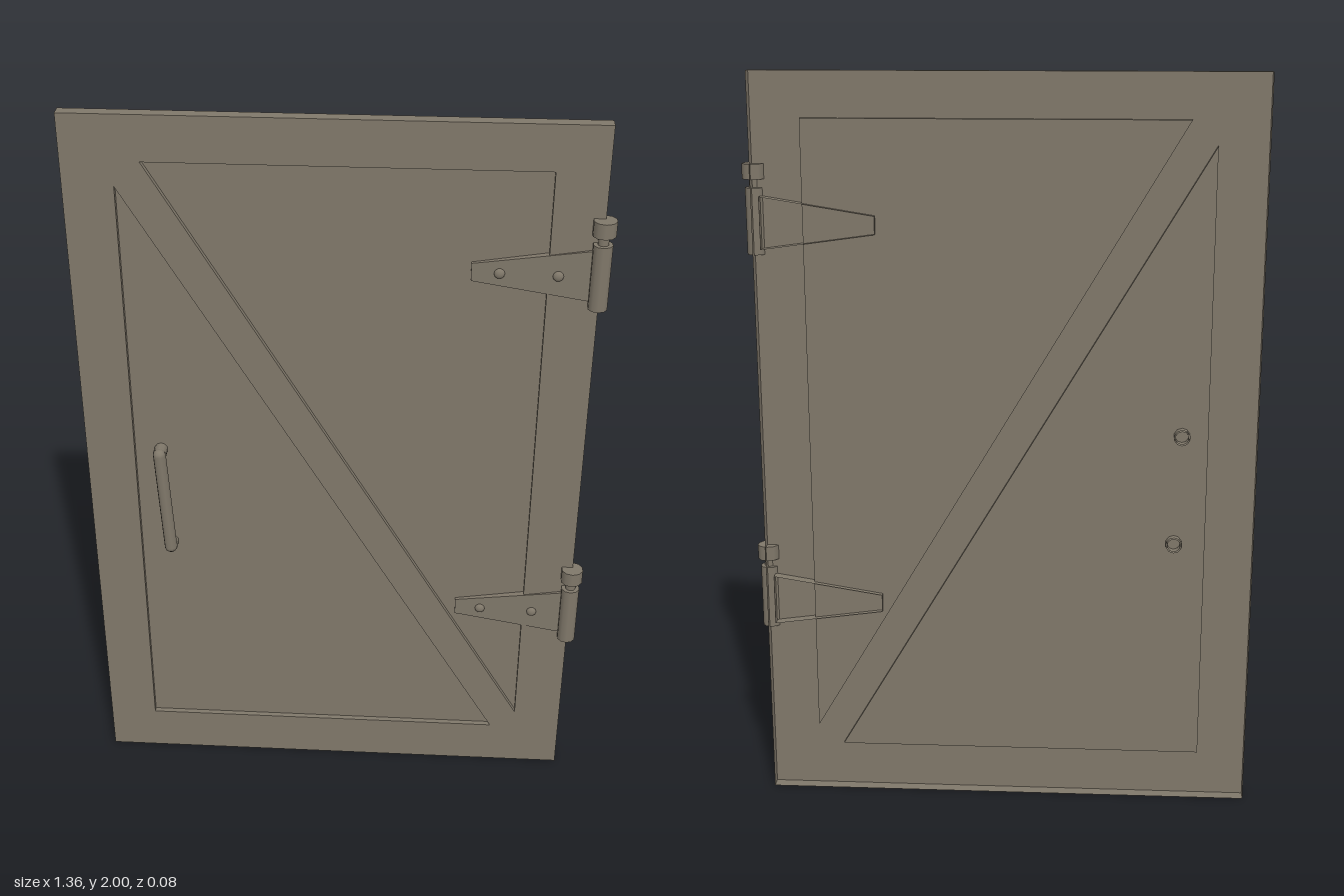
import * as THREE from 'three';

const paint = new THREE.MeshStandardMaterial({ color: 0x80786a, side: THREE.DoubleSide });
paint.name = 'weathered taupe';

const FRONT = 0, PANEL = -0.015, BACK = -0.034;

function add(parent, name, geometry, x = 0, y = 0, z = 0) {
  const mesh = new THREE.Mesh(geometry, paint);
  mesh.name = name;
  mesh.position.set(x, y, z);
  parent.add(mesh);
  return mesh;
}

const toVectors = pts => pts.map(([x, y]) => new THREE.Vector2(x, y));

// Flat sheet whose depth follows a rule of x
function sheet(pts, depth, holes = []) {
  const shape = new THREE.Shape(toVectors(pts));
  holes.forEach(h => shape.holes.push(new THREE.Path(toVectors(h))));
  const geo = new THREE.ShapeGeometry(shape);
  const p = geo.attributes.position;
  for (let i = 0; i < p.count; i++) p.setZ(i, depth(p.getX(i)));
  geo.computeVertexNormals();
  return geo;
}

// Side walls around an anticlockwise outline
function walls(pts, depth, back) {
  const v = [];
  pts.forEach(([ax, ay], i) => {
    const [bx, by] = pts[(i + 1) % pts.length];
    const a0 = [ax, ay, back], b0 = [bx, by, back];
    const a1 = [ax, ay, depth(ax)], b1 = [bx, by, depth(bx)];
    v.push(...a0, ...b0, ...b1, ...a0, ...b1, ...a1);
  });
  const geo = new THREE.BufferGeometry();
  geo.setAttribute('position', new THREE.Float32BufferAttribute(v, 3));
  geo.computeVertexNormals();
  return geo;
}

function createHinge(y) {
  const hinge = new THREE.Group();
  hinge.name = 'hinge';
  hinge.position.y = y;
  // Tapered strap, tilted slightly out towards the barrel
  const outline = [[0.33, -0.024], [0.63, -0.066], [0.63, 0.072], [0.33, 0.024]];
  const depth = x => -0.006 + (x - 0.33) * 0.047;
  add(hinge, 'hingeStrap', sheet(outline, depth));
  add(hinge, 'hingeStrapEdge', walls(outline, depth, -0.03));
  for (const x of [0.4, 0.545]) {
    const rivet = add(hinge, 'rivet',
      new THREE.SphereGeometry(0.014, 10, 4, 0, Math.PI * 2, 0, Math.PI / 2), x, 0, depth(x));
    rivet.rotation.x = Math.PI / 2;
    rivet.scale.y = 0.65;
  }
  // Barrel, pin and pin head
  add(hinge, 'hingeBarrel', new THREE.CylinderGeometry(0.025, 0.025, 0.175, 10), 0.647, 0.005, 0.01);
  add(hinge, 'hingePin', new THREE.CylinderGeometry(0.014, 0.014, 0.05, 10), 0.647, 0.105, 0.01);
  add(hinge, 'pinHead', new THREE.CylinderGeometry(0.03, 0.03, 0.04, 10), 0.648, 0.135, 0.007);
  return hinge;
}

function createHandle() {
  const handle = new THREE.Group();
  handle.name = 'handle';
  // Slightly leaning grip with rounded ends
  const top = new THREE.Vector3(-0.48, 1.053, 0.019);
  const bottom = new THREE.Vector3(-0.466, 0.752, 0.014);
  const dir = top.clone().sub(bottom);
  const mid = top.clone().add(bottom).multiplyScalar(0.5);
  const grip = add(handle, 'grip', new THREE.CapsuleGeometry(0.0175, dir.length(), 3, 10), mid.x, mid.y, mid.z);
  grip.quaternion.setFromUnitVectors(new THREE.Vector3(0, 1, 0), dir.normalize());
  // Hollow posts passing through the panel
  for (const end of [top, bottom]) {
    const post = add(handle, 'handlePost',
      new THREE.CylinderGeometry(0.018, 0.018, 0.055, 10, 1, true), end.x, end.y, -0.0115);
    post.rotation.x = Math.PI / 2;
    const sleeve = add(handle, 'postSleeve',
      new THREE.CylinderGeometry(0.022, 0.022, 0.022, 10, 1, true), end.x, end.y, -0.028);
    sleeve.rotation.x = Math.PI / 2;
  }
  return handle;
}

export function createModel() {
  const door = new THREE.Group();
  door.name = 'door';

  // Open-backed frame with a diagonal brace
  const outer = [[-0.68, 0], [0.65, 0], [0.65, 2], [-0.68, 2]];
  const panels = [
    [[-0.55, 0.13], [0.45, 0.13], [-0.55, 1.815]],
    [[0.52, 0.185], [0.52, 1.88], [-0.483, 1.88]],
  ];
  add(door, 'frameAndBrace', sheet(outer, () => FRONT, panels));
  add(door, 'frameEdge', walls(outer, () => FRONT, BACK));

  // Recessed triangular panels
  for (const tri of panels) {
    add(door, 'recessedPanel', sheet(tri, () => PANEL));
    add(door, 'panelRim', walls(tri, () => FRONT, PANEL));
  }

  for (const y of [1.608, 0.563]) door.add(createHinge(y));
  door.add(createHandle());
  return door;
}
